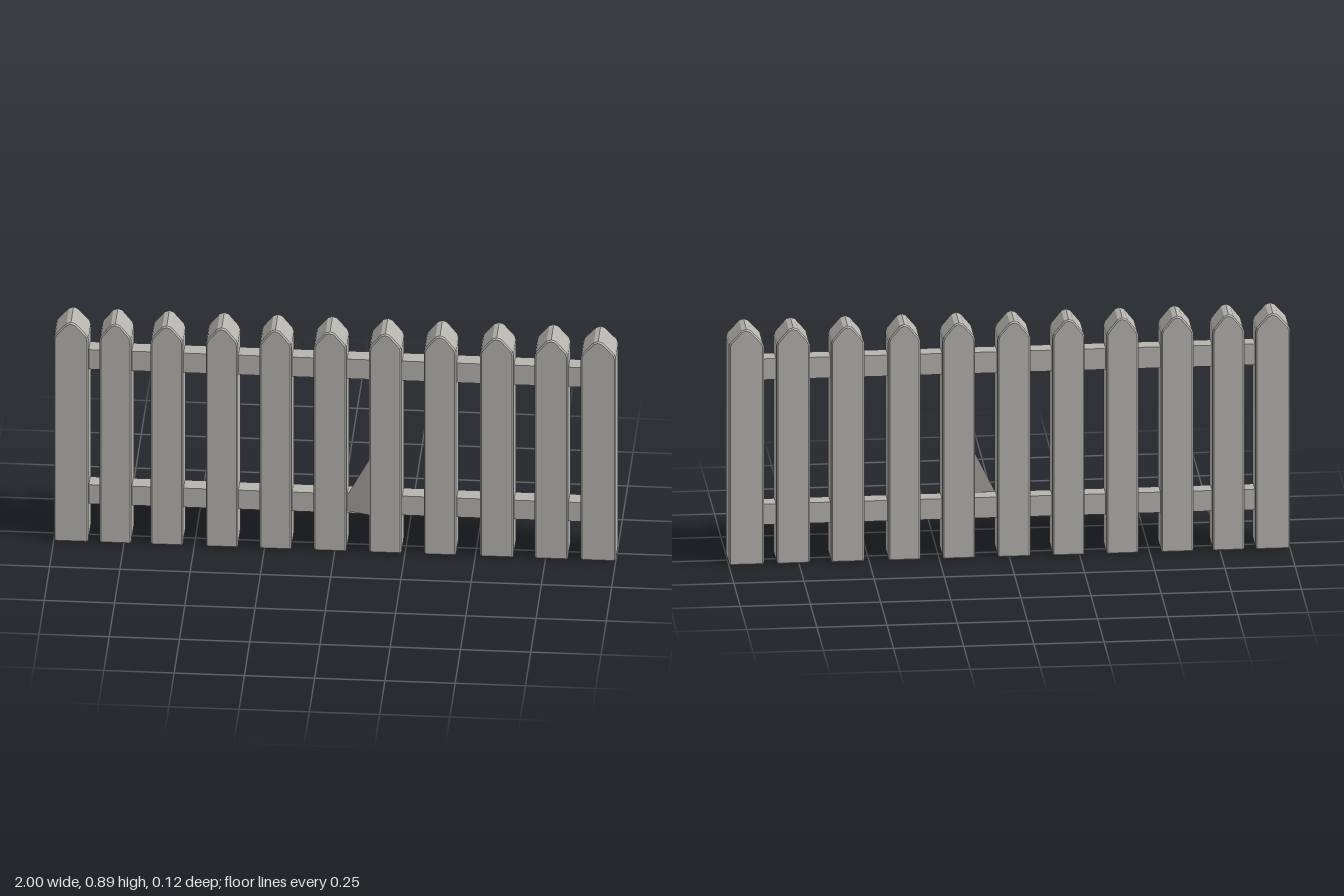
import * as THREE from 'three';

const DEPTH = 0.124;
const BEVEL = 0.005;

// Extruded board outline with a small chamfer all round, centred on z = 0
function board(points, depth) {
  const shape = new THREE.Shape(points.map(([x, y]) => new THREE.Vector2(x, y)));
  const geometry = new THREE.ExtrudeGeometry(shape, {
    depth: depth - 2 * BEVEL,
    bevelEnabled: true,
    bevelThickness: BEVEL,
    bevelSize: BEVEL,
    bevelOffset: -BEVEL,
    bevelSegments: 1,
  });
  return geometry.translate(0, 0, -depth / 2 + BEVEL);
}

// Pointed picket with a blunted tip and softened shoulders
function picketGeometry(width) {
  const w = width / 2;
  return board([
    [-w + 0.004, 0], [w - 0.004, 0], [w, 0.008],
    [w, 0.82], [w - 0.005, 0.835],
    [0.016, 0.88], [0, 0.886], [-0.016, 0.88],
    [-w + 0.005, 0.835], [-w, 0.82], [-w, 0.008],
  ], DEPTH);
}

export function createModel() {
  const fence = new THREE.Group();
  fence.name = 'picketFence';
  const wood = new THREE.MeshStandardMaterial({ color: 0xb5b4ae, flatShading: true });
  wood.name = 'weatheredGrey';

  const add = (name, geometry, material = wood) => {
    const mesh = new THREE.Mesh(geometry, material);
    mesh.name = name;
    fence.add(mesh);
    return mesh;
  };

  // Slightly uneven pickets: left and right edge of each
  const edges = [
    [-1, -0.877], [-0.837, -0.724], [-0.655, -0.54], [-0.459, -0.345],
    [-0.268, -0.154], [-0.075, 0.042], [0.122, 0.238], [0.317, 0.432],
    [0.517, 0.636], [0.711, 0.83], [0.875, 1],
  ];
  edges.forEach(([x0, x1], i) => {
    add(`picket${i + 1}`, picketGeometry(x1 - x0)).position.x = (x0 + x1) / 2;
  });

  // Two rails running through the pickets
  const rails = [['lowerRail', 0.14, 0.217], ['upperRail', 0.684, 0.763]];
  for (const [name, y0, y1] of rails) {
    add(name, new THREE.BoxGeometry(1.88, y1 - y0, 0.06)).position.y = (y0 + y1) / 2;
  }

  // Splinter of wood bridging two middle pickets above the lower rail
  const splinter = new THREE.BufferGeometry().setFromPoints([
    new THREE.Vector3(0.04, 0.15, 0.031),
    new THREE.Vector3(0.125, 0.15, 0.058),
    new THREE.Vector3(0.125, 0.38, 0.058),
    new THREE.Vector3(0.04, 0.21, 0.031),
  ]);
  splinter.setIndex([0, 1, 2, 0, 2, 3]);
  splinter.computeVertexNormals();
  const openWood = wood.clone();
  openWood.side = THREE.DoubleSide;
  add('splinter', splinter, openWood);

  return fence;
}
